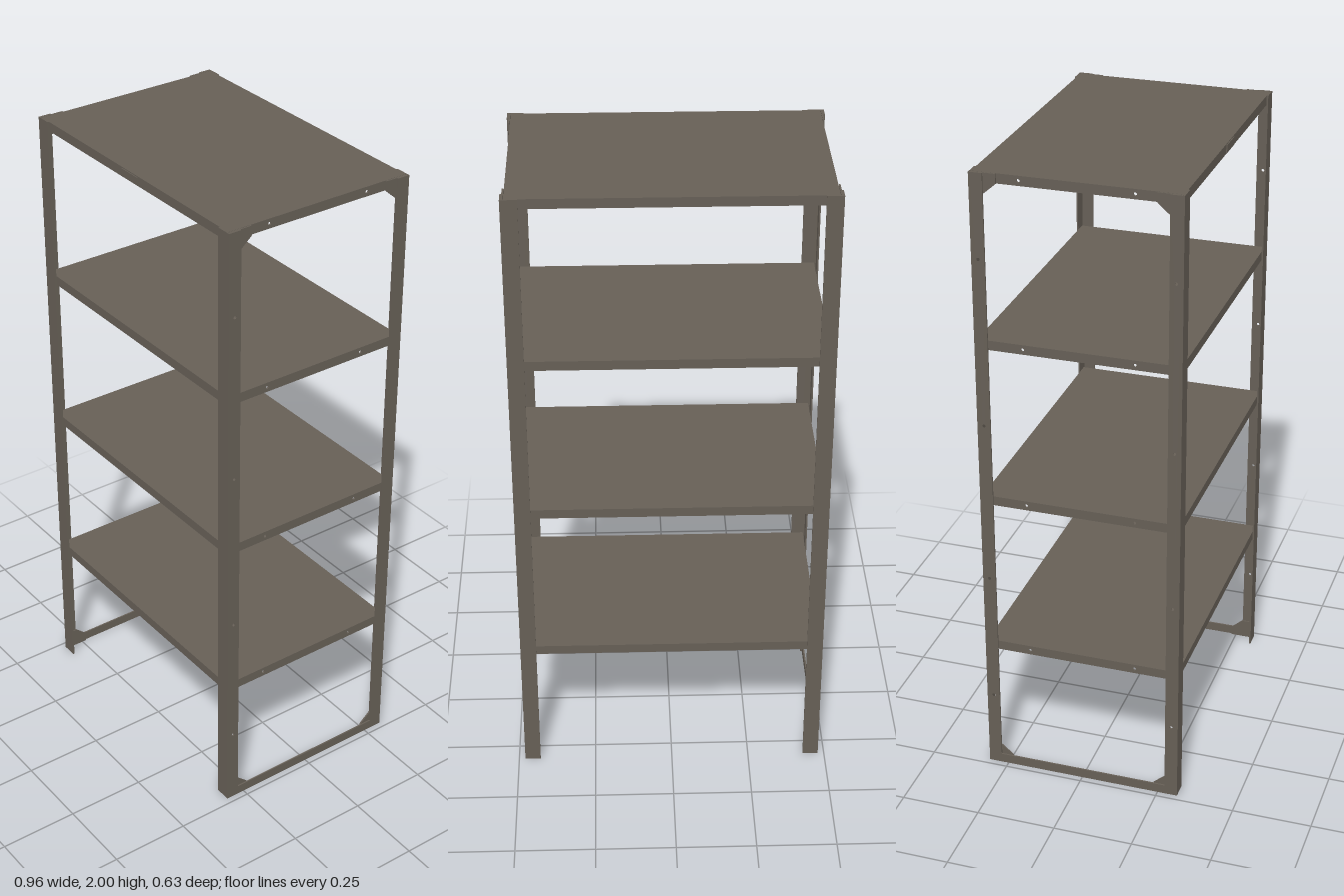
import * as THREE from 'three';

const H = 2, X = 0.48, Z = 0.314, T = 0.005;
const SHELF_X = 0.469, SHELF_Z = 0.309, LIP = 0.03;

export function createModel() {
  const root = new THREE.Group();
  const steel = new THREE.MeshStandardMaterial({ color: 0x665f56 });
  steel.name = 'dark bronze steel';

  const add = (parent, name, geo) => {
    const m = new THREE.Mesh(geo, steel);
    m.name = name;
    parent.add(m);
    return m;
  };
  const group = (name) => {
    const g = new THREE.Group();
    g.name = name;
    root.add(g);
    return g;
  };
  const box = (parent, name, x0, x1, y0, y1, z0, z1) =>
    add(parent, name, new THREE.BoxGeometry(Math.abs(x1 - x0), y1 - y0, Math.abs(z1 - z0))
      .translate((x0 + x1) / 2, (y0 + y1) / 2, (z0 + z1) / 2));

  // Thin plate drawn in (z, y), centred on the given x, with round bolt holes
  const sidePlate = (parent, name, x, thick, points, holes = []) => {
    const shape = new THREE.Shape(points.map(([z, y]) => new THREE.Vector2(z, y)));
    for (const [z, y] of holes) {
      shape.holes.push(new THREE.Path().absarc(z, y, 0.005, 0, Math.PI * 2, true));
    }
    const geo = new THREE.ExtrudeGeometry(shape, { depth: thick, bevelEnabled: false, curveSegments: 8 });
    return add(parent, name, geo.rotateY(-Math.PI / 2).translate(x + thick / 2, 0, 0));
  };
  const rect = (z0, z1, y0, y1) => [[z0, y0], [z1, y0], [z1, y1], [z0, y1]];

  // Shelves: folded trays with lips and a small inward return
  [0.455, 0.97, 1.485, H].forEach((top) => {
    const g = group('shelf');
    const low = top - LIP;
    box(g, 'shelfTop', -SHELF_X, SHELF_X, top - T, top, -SHELF_Z, SHELF_Z);
    for (const s of [-1, 1]) {
      box(g, 'longLip', -SHELF_X, SHELF_X, low, top - T, s * (SHELF_Z - T), s * SHELF_Z);
      box(g, 'longReturn', -SHELF_X, SHELF_X, low, low + 0.003, s * (SHELF_Z - 0.014), s * (SHELF_Z - T));
      sidePlate(g, 'sideLip', s * (SHELF_X - T / 2), T,
        rect(-SHELF_Z + T, SHELF_Z - T, low, top - T),
        [[-0.17, top - LIP / 2], [0.17, top - LIP / 2]]);
      box(g, 'sideReturn', s * (SHELF_X - 0.014), s * (SHELF_X - T), low, low + 0.003,
        -SHELF_Z + 0.014, SHELF_Z - 0.014);
    }
  });

  // Small plain plate on the front edge of the top shelf
  box(root, 'frontPlate', -0.04, 0.04, H - 0.027, H - 0.003, SHELF_Z, SHELF_Z + 0.003);

  for (const sx of [-1, 1]) {
    for (const sz of [-1, 1]) {
      // Angle posts: a front or back flange and a drilled side flange
      const post = group('cornerPost');
      box(post, 'faceFlange', sx * 0.43, sx * X, 0, H, sz * (Z - T), sz * Z);
      sidePlate(post, 'sideFlange', sx * (X - T / 2), T,
        rect(sz * 0.273, sz * (Z - T), 0, H),
        [0.255, 0.685, 1.21, 1.74].map((y) => [sz * 0.293, y]));

      // Chamfered gussets inside the top and bottom corners
      for (const up of [false, true]) {
        const pts = [[0.308, 0], [0.235, 0], [0.235, 0.03], [0.272, 0.062], [0.308, 0.062]]
          .map(([z, y]) => [sz * z, up ? H - y : y]);
        sidePlate(root, 'cornerGusset', sx * 0.4725, 0.005, pts);
      }
    }
    // Bottom side rail
    box(root, 'bottomRail', sx * (X - T), sx * X, 0, LIP, -0.273, 0.273);
  }
  return root;
}
